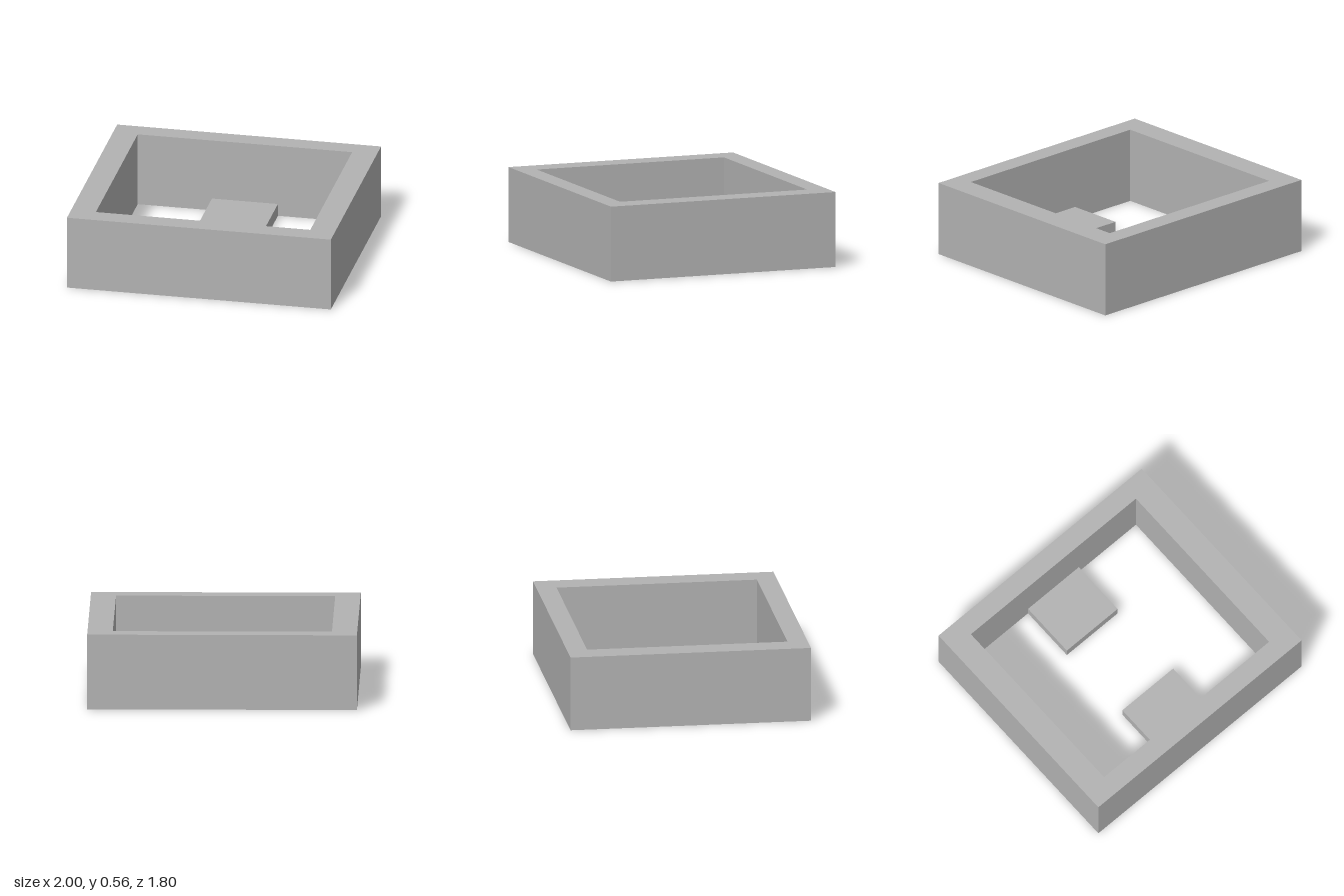
import * as THREE from 'three';

const W = 2, D = 1.8, H = 0.5625; // outer size
const WALL_X = 0.1875, WALL_Z = 0.15; // side and end wall thickness
const TAB_W = 0.5, TAB_D = 0.4375, TAB_H = 0.095;

// Corners of a rectangle centred on the origin
const rect = (w, d) => [[-1, -1], [1, -1], [1, 1], [-1, 1]]
  .map(([x, y]) => new THREE.Vector2(x * w / 2, y * d / 2));

export function createModel() {
  const grey = new THREE.MeshStandardMaterial({ color: 0xb2b2b2 });
  grey.name = 'grey';
  const model = new THREE.Group();
  model.name = 'openFrame';

  // Rectangular wall ring, open at top and bottom
  const outline = new THREE.Shape(rect(W, D));
  outline.holes.push(new THREE.Path(rect(W - 2 * WALL_X, D - 2 * WALL_Z)));
  const ring = new THREE.ExtrudeGeometry(outline, { depth: H, bevelEnabled: false });
  ring.rotateX(-Math.PI / 2);
  const walls = new THREE.Mesh(ring, grey);
  walls.name = 'walls';
  model.add(walls);

  // Flat tabs reaching inward from the front and back walls, flush with the base
  const tabGeometry = new THREE.BoxGeometry(TAB_W, TAB_H, TAB_D);
  for (const [name, side] of [['frontTab', 1], ['backTab', -1]]) {
    const tab = new THREE.Mesh(tabGeometry, grey);
    tab.name = name;
    tab.position.set(0, TAB_H / 2, side * (D / 2 - WALL_Z - TAB_D / 2));
    model.add(tab);
  }
  return model;
}
